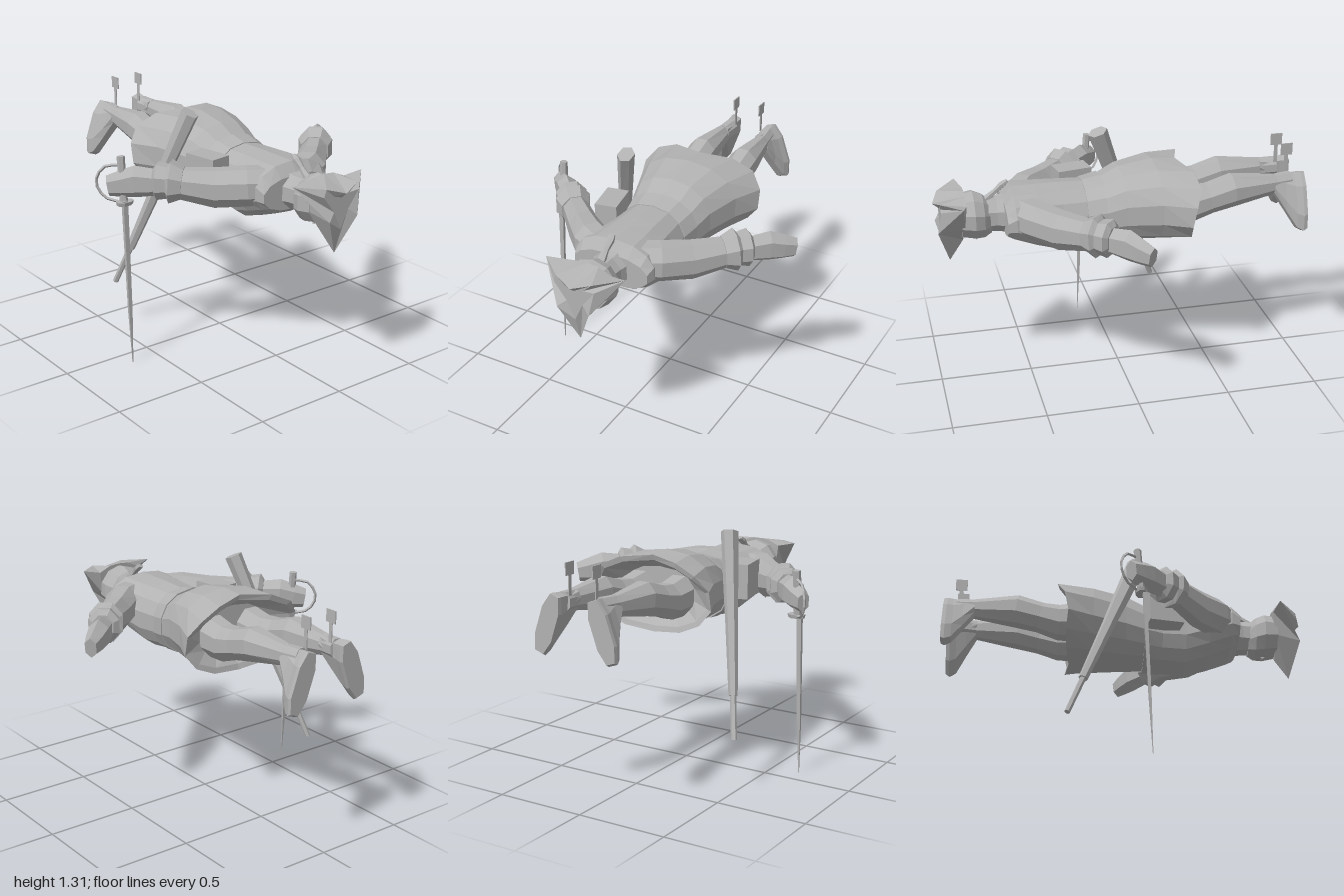
import * as THREE from 'three';

const grey = new THREE.MeshStandardMaterial({ color: 0xb2b2b2, flatShading: true, side: THREE.DoubleSide });
grey.name = 'plain grey';

const V = (x, y, z) => new THREE.Vector3(x, y, z);

// Skin a list of equal-length rings of Vector3, closing both ends
function skin(name, rings) {
  const n = rings[0].length, pos = [], idx = [];
  const push = (p) => { pos.push(p.x, p.y, p.z); return pos.length / 3 - 1; };
  rings.forEach((r) => r.forEach(push));
  for (let i = 0; i < rings.length - 1; i++) {
    for (let j = 0; j < n; j++) {
      const a = i * n + j, b = i * n + (j + 1) % n;
      idx.push(a, a + n, b, a + n, b + n, b);
    }
  }
  [0, rings.length - 1].forEach((i) => {
    const mid = V(0, 0, 0);
    rings[i].forEach((p) => mid.addScaledVector(p, 1 / n));
    const c = push(mid);
    for (let j = 0; j < n; j++) {
      const a = i * n + j, b = i * n + (j + 1) % n;
      if (i === 0) idx.push(c, a, b); else idx.push(c, b, a);
    }
  });
  const g = new THREE.BufferGeometry();
  g.setAttribute('position', new THREE.Float32BufferAttribute(pos, 3));
  g.setIndex(idx);
  const flat = g.toNonIndexed();
  flat.computeVertexNormals();
  const m = new THREE.Mesh(flat, grey);
  m.name = name;
  return m;
}

// Rings along a path: each point is [x, y, z, halfWidth, halfHeight]
function sweep(name, pts, { n = 8, up = V(0, 1, 0), dir = null, power = 1, adjust = null } = {}) {
  const at = (i) => V(...pts[Math.min(Math.max(i, 0), pts.length - 1)].slice(0, 3));
  const bend = (s) => Math.sign(s) * Math.pow(Math.abs(s), power);
  return skin(name, pts.map((p, i) => {
    const t = dir || at(i + 1).sub(at(i - 1)).normalize();
    const u = t.clone().cross(up).normalize(), v = u.clone().cross(t);
    return Array.from({ length: n }, (_, j) => {
      const a = ((j + 0.5) / n) * Math.PI * 2;
      const q = at(i).addScaledVector(u, p[3] * bend(Math.cos(a))).addScaledVector(v, p[4] * bend(Math.sin(a)));
      if (adjust) adjust(q, i, a);
      return q;
    });
  }));
}

// Sections along the body axis: [z, halfWidth, yBottom, yTop]
const along = (secs) => secs.map(([z, w, lo, hi]) => [0, (lo + hi) / 2, z, w, (hi - lo) / 2]);
const BACK = V(0, 0, -1);

export function createModel() {
  const model = new THREE.Group();
  model.name = 'lyingSwordsman';
  const body = new THREE.Group();
  body.name = 'figure';
  body.position.x = 0.01;
  model.add(body);

  // Coat: chest, waist, flared skirt with a scalloped hem, shallow inside
  body.add(sweep('coat', along([
    [0.625, 0.215, 0.88, 1.06], [0.58, 0.23, 0.85, 1.12], [0.46, 0.22, 0.8, 1.12],
    [0.33, 0.2, 0.755, 1.12], [0.2, 0.19, 0.77, 1.115], [0.1, 0.21, 0.785, 1.13],
    [0, 0.235, 0.785, 1.18], [-0.18, 0.295, 0.785, 1.21], [-0.31, 0.365, 0.79, 1.2],
    [-0.3, 0.335, 0.82, 1.17], [-0.25, 0.22, 0.87, 1.13],
  ]), {
    n: 14, dir: BACK, power: 0.9,
    adjust: (q, i, a) => {
      if (i === 8 || i === 9) q.z -= Math.abs(Math.sin(2 * a)) * (Math.sin(a) > 0 ? 0.07 : 0.02);
    },
  }));
  body.add(sweep('belt', along([[0.2, 0.195, 0.765, 1.12], [0.1, 0.215, 0.775, 1.14]]), { n: 14, dir: BACK, power: 0.9 }));

  // Neck and head
  body.add(sweep('neck', along([[0.71, 0.085, 0.88, 1.07], [0.66, 0.09, 0.88, 1.07], [0.6, 0.11, 0.87, 1.08]]), { dir: BACK }));
  body.add(sweep('head', along([
    [0.85, 0.12, 0.865, 1.1], [0.78, 0.135, 0.85, 1.11], [0.73, 0.115, 0.85, 1.09], [0.69, 0.075, 0.87, 1.05],
  ]), { n: 10, dir: BACK }));
  body.add(sweep('nose', [[0, 0.88, 0.8, 0.015, 0.015], [0, 0.855, 0.77, 0.022, 0.02], [0, 0.875, 0.755, 0.015, 0.015]], { n: 4, dir: BACK }));
  body.add(sweep('hairQueue', [
    [0, 1.06, 0.71, 0.025, 0.02], [0, 1.1, 0.66, 0.015, 0.014], [0, 1.135, 0.62, 0.024, 0.018], [0, 1.152, 0.595, 0.015, 0.01],
  ], { n: 6 }));

  // Three-cornered hat: crown, turned-up brim edge, brim base
  const brim = [[0.225, 1.1, 0.85], [0.1, 1.09, 0.955], [0, 1.06, 0.99], [-0.1, 1.09, 0.955],
    [-0.225, 1.1, 0.85], [-0.09, 0.925, 0.975], [0, 0.73, 0.915], [0.09, 0.925, 0.975]];
  const base = [[0.13, 1.08, 0.825], [0.06, 1.11, 0.825], [0, 1.115, 0.825], [-0.06, 1.11, 0.825],
    [-0.13, 1.08, 0.825], [-0.11, 0.95, 0.835], [0, 0.84, 0.84], [0.11, 0.95, 0.835]];
  const crown = brim.map(([x, y]) => V(x * 0.5, 1 + (y - 1) * 0.5, 0.955));
  body.add(skin('hat', [crown, brim.map((p) => V(...p)), base.map((p) => V(...p))]));

  for (const s of [1, -1]) {
    const side = s > 0 ? 'left' : 'right';
    const flip = (pts) => pts.map(([x, ...r]) => [x * s, ...r]);

    // Arms reaching out and back, with a two-step cuff
    body.add(sweep(side + 'Sleeve', flip([
      [0.12, 1.0, 0.52, 0.1, 0.1], [0.2, 1.0, 0.48, 0.1, 0.105], [0.32, 0.985, 0.37, 0.085, 0.105], [0.47, 1.005, 0.23, 0.07, 0.08],
    ])));
    body.add(sweep(side + 'Cuff', flip([
      [0.44, 1.005, 0.26, 0.08, 0.085], [0.485, 1.01, 0.215, 0.1, 0.115], [0.495, 1.01, 0.205, 0.08, 0.09],
      [0.53, 1.01, 0.165, 0.09, 0.1], [0.545, 1.01, 0.15, 0.06, 0.07],
    ])));
    body.add(sweep(side + 'Hand', flip([
      [0.53, 1.0, 0.165, 0.055, 0.07], [0.61, 1.0, 0.085, 0.06, 0.085], [0.67, 0.985, 0.035, 0.05, 0.07], [0.72, 0.975, -0.005, 0.035, 0.055],
    ]), { n: 6 }));

    // Legs, from full thighs down to a narrow ankle
    body.add(sweep(side + 'Leg', flip([
      [0.12, 0.99, -0.2, 0.1, 0.12], [0.125, 0.98, -0.37, 0.09, 0.1], [0.13, 1.005, -0.47, 0.08, 0.085],
      [0.13, 1.04, -0.6, 0.083, 0.092], [0.125, 1.05, -0.84, 0.043, 0.056], [0.115, 1.055, -0.93, 0.045, 0.056],
    ])));
    // Boots with flat soles, toes pointing down and outwards
    body.add(sweep(side + 'Boot', flip([
      [0.125, 1.052, -0.83, 0.042, 0.055], [0.14, 1.0, -0.89, 0.045, 0.105], [0.158, 0.958, -0.945, 0.05, 0.16],
      [0.163, 0.95, -0.98, 0.058, 0.172], [0.163, 0.955, -1, 0.055, 0.165],
    ]), { dir: BACK, up: V(-0.33 * s, 0.94, 0), power: 0.8 }));

    // Spur: thin stem and square plate
    const stem = new THREE.Mesh(new THREE.BoxGeometry(0.005, 0.11, 0.02), grey);
    stem.name = side + 'SpurStem';
    stem.position.set(0.08 * s, 1.145, -0.915);
    const plate = new THREE.Mesh(new THREE.BoxGeometry(0.006, 0.065, 0.065), grey);
    plate.name = side + 'SpurPlate';
    plate.position.set(0.08 * s, 1.225, -0.915);
    body.add(stem, plate);
  }

  // Sword held point down in the right hand
  const sword = new THREE.Group();
  sword.name = 'sword';
  sword.add(sweep('blade', [[-0.655, 0.9, 0.065, 0.02, 0.014], [-0.655, 0.3, 0.088, 0.014, 0.01], [-0.655, 0, 0.1, 0.003, 0.002]], { n: 4, up: V(0, 0, 1) }));
  sword.add(sweep('grip', [[-0.65, 1.13, 0.03, 0.021, 0.02], [-0.65, 0.88, 0.05, 0.021, 0.02]], { n: 6, up: V(0, 0, 1) }));
  sword.add(sweep('handGuard', [[-0.645, 0.895, 0.05, 0.05, 0.035], [-0.645, 0.875, 0.05, 0.045, 0.03]], { n: 8, up: V(0, 0, 1) }));
  const loop = new THREE.CatmullRomCurve3([V(-0.65, 1.085, 0.03), V(-0.715, 1.07, -0.03), V(-0.745, 0.99, -0.06), V(-0.715, 0.91, -0.03), V(-0.65, 0.885, 0.04)]);
  const bow = new THREE.Mesh(new THREE.TubeGeometry(loop, 9, 0.008, 4), grey);
  bow.name = 'knuckleBow';
  sword.add(bow);
  model.add(sword);

  // Scabbard slung through the belt, stepping down to a thin tip
  const top = V(-0.235, 1.29, 0.055), tip = V(-0.487, 0.28, -0.315);
  const onLine = (t, w, h) => [...top.clone().lerp(tip, t).toArray(), w, h];
  model.add(sweep('scabbard', [
    onLine(0, 0.044, 0.055), onLine(0.25, 0.038, 0.045), onLine(0.42, 0.033, 0.036), onLine(0.79, 0.024, 0.025),
    onLine(0.791, 0.017, 0.017), onLine(1, 0.016, 0.015),
  ], { n: 6, up: V(0, 0, 1) }));

  // Pouch on the right hip
  const pouch = new THREE.Mesh(new THREE.BoxGeometry(0.12, 0.19, 0.19), grey);
  pouch.name = 'pouch';
  pouch.position.set(-0.235, 1.01, 0.205);
  pouch.rotation.y = 0.18;
  model.add(pouch);

  return model;
}
